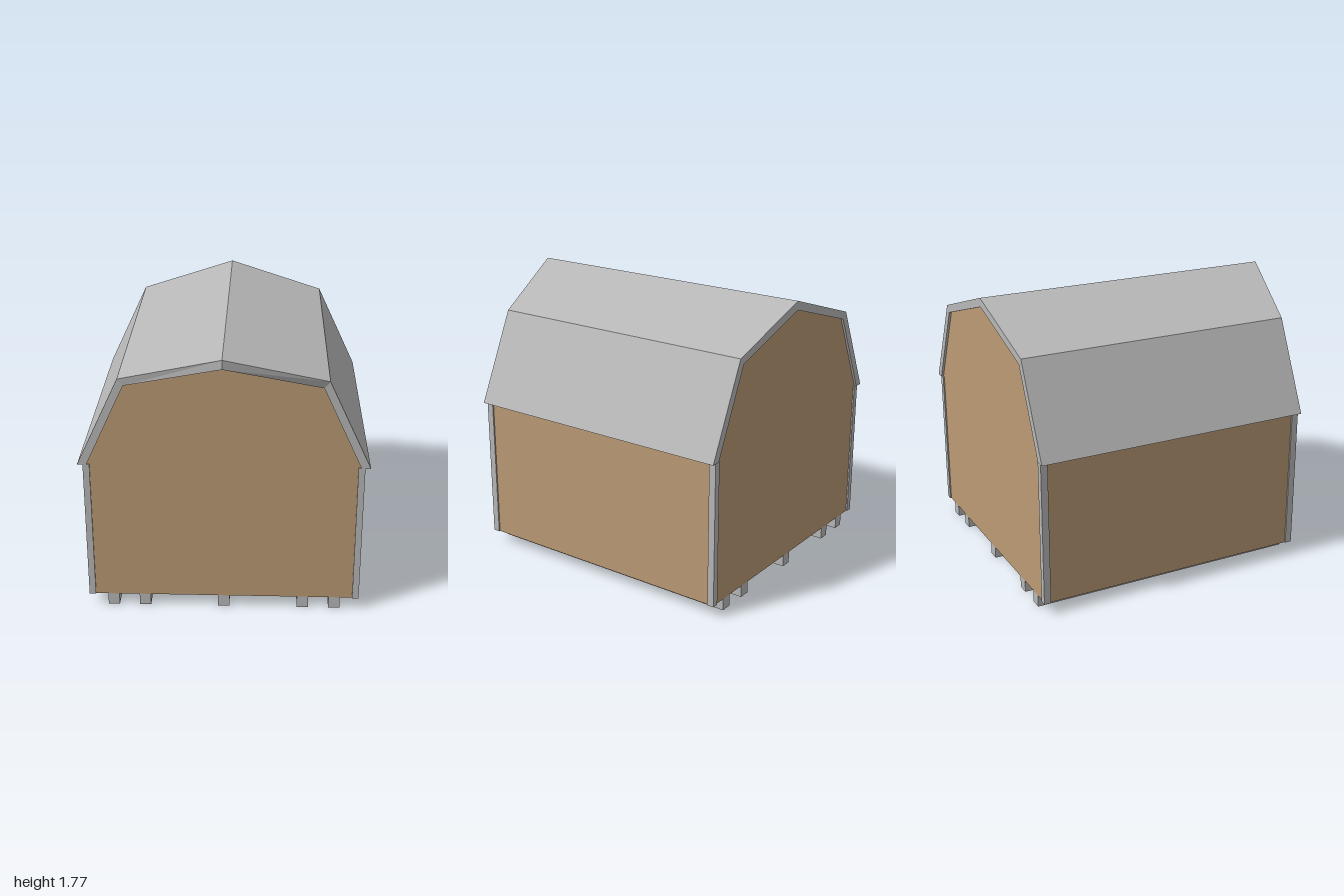
import * as THREE from 'three';

const siding = new THREE.MeshStandardMaterial({ name: 'tan siding', color: 0xbb9a75, side: THREE.DoubleSide });
const grey = new THREE.MeshStandardMaterial({ name: 'grey trim', color: 0xb8b8b8 });

const FRONT = 0.785, BACK = -0.985, FLOOR = 0.077, EAVE = 1.0, WALL_X = 0.852;

// half profiles, eave to ridge
const roofOuter = [[0.895, EAVE], [0.63, 1.565], [0, 1.77]];
const roofInner = [[0.838, EAVE], [0.595, 1.523], [0, 1.713]];

// full left-to-right outline of a half profile
const mirrored = (half) => [...half, ...half.slice(0, -1).reverse().map(([x, y]) => [-x, y])];
const toShape = (points) => new THREE.Shape(points.map(([x, y]) => new THREE.Vector2(x, y)));

export function createModel() {
  const model = new THREE.Group();
  model.name = 'gambrelShed';

  const add = (name, geometry, material, x = 0, y = 0, z = 0) => {
    const mesh = new THREE.Mesh(geometry, material);
    mesh.name = name;
    mesh.position.set(x, y, z);
    model.add(mesh);
    return mesh;
  };
  const box = (name, material, x0, x1, y0, y1, z0, z1) =>
    add(name, new THREE.BoxGeometry(Math.abs(x1 - x0), y1 - y0, Math.abs(z1 - z0)), material,
      (x0 + x1) / 2, (y0 + y1) / 2, (z0 + z1) / 2);

  // gable end walls
  const gable = toShape(mirrored([[WALL_X, FLOOR], [WALL_X, EAVE], ...roofInner]));
  add('frontWall', new THREE.ShapeGeometry(gable), siding, 0, 0, FRONT);
  add('backWall', new THREE.ShapeGeometry(gable), siding, 0, 0, BACK).rotation.y = Math.PI;

  // side walls
  for (const s of [1, -1]) {
    const wall = new THREE.PlaneGeometry(FRONT - BACK, EAVE - FLOOR);
    add(s > 0 ? 'leftWall' : 'rightWall', wall, siding, s * WALL_X, (EAVE + FLOOR) / 2, (FRONT + BACK) / 2)
      .rotation.y = s * Math.PI / 2;
  }

  // ceiling lining just beneath the roof
  const liningPoints = mirrored([[0.815, 1.035], [0.591, 1.518], [0, 1.708]]);
  for (let i = 0; i < liningPoints.length - 1; i++) {
    const [ax, ay] = liningPoints[i], [bx, by] = liningPoints[i + 1];
    const panel = new THREE.PlaneGeometry(Math.hypot(bx - ax, by - ay), FRONT - BACK);
    panel.rotateX(Math.PI / 2).rotateZ(Math.atan2(by - ay, bx - ax));
    add('ceilingLining', panel, siding, (ax + bx) / 2, (ay + by) / 2, (FRONT + BACK) / 2);
  }

  // roof shell, with the ridge drawn forward into a pointed overhang
  const roofShape = toShape([...mirrored(roofOuter), ...mirrored(roofInner).reverse()]);
  const roof = new THREE.ExtrudeGeometry(roofShape, { depth: 1, bevelEnabled: false });
  const p = roof.attributes.position;
  for (let i = 0; i < p.count; i++) {
    const front = Math.abs(p.getX(i)) < 0.01 ? 1 : 0.795;
    p.setZ(i, p.getZ(i) > 0.5 ? front : -1);
  }
  roof.computeVertexNormals();
  add('roof', roof, grey);

  // corner trim: one board on the end wall and one on the side wall
  for (const s of [1, -1]) {
    for (const [end, dir] of [[FRONT, 1], [BACK, -1]]) {
      const face = end + dir * 0.009, inner = end - dir * 0.035;
      box('cornerTrimEnd', grey, s * 0.82, s * 0.861, FLOOR, EAVE, end, face);
      box('cornerTrimSide', grey, s * WALL_X, s * 0.861, FLOOR, EAVE, inner, end);
    }
  }

  // floor skids
  for (const x of [-0.706, -0.504, 0, 0.504, 0.706]) {
    box('skid', grey, x - 0.036, x + 0.036, 0, FLOOR, BACK, FRONT);
  }

  return model;
}
